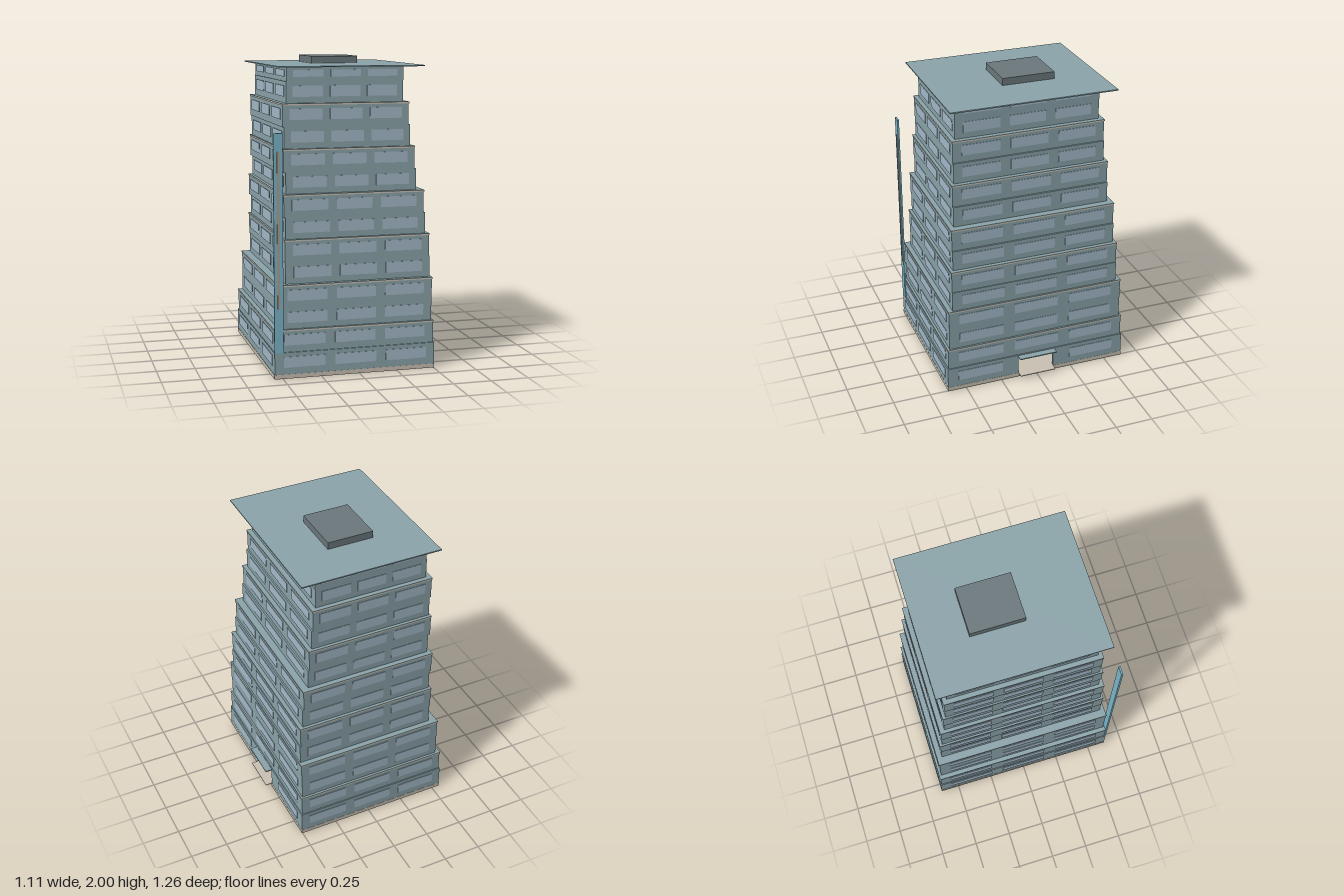
import * as THREE from 'three';

const mat = (name, color) => {
  const m = new THREE.MeshStandardMaterial({ color });
  m.name = name;
  return m;
};

export function createModel() {
  const wall = mat('wall blue grey', 0x8ba4aa);
  const glass = mat('window pale blue', 0xa4bac9);
  const stone = mat('beige stone', 0xc9c1b3);
  const plant = mat('roof unit grey', 0x6b787c);
  const blade = mat('sign blue', 0x7bb7cb);
  const strip = mat('sign strip tan', 0xae9f90);

  const model = new THREE.Group();
  model.name = 'building';

  // Box given by its limits on each axis
  const box = (parent, name, m, x0, x1, y0, y1, z0, z1) => {
    const mesh = new THREE.Mesh(new THREE.BoxGeometry(x1 - x0, y1 - y0, z1 - z0), m);
    mesh.position.set((x0 + x1) / 2, (y0 + y1) / 2, (z0 + z1) / 2);
    mesh.name = name;
    parent.add(mesh);
    return mesh;
  };

  // Footprint of each storey: x0, x1, z0, z1
  const storeys = [
    [-0.553, 0.504, -0.627, 0.625], [-0.547, 0.497, -0.62, 0.617],
    [-0.52, 0.488, -0.607, 0.604], [-0.52, 0.49, -0.607, 0.604],
    [-0.469, 0.483, -0.574, 0.575], [-0.473, 0.478, -0.574, 0.575],
    [-0.463, 0.454, -0.557, 0.558], [-0.474, 0.444, -0.557, 0.558],
    [-0.454, 0.4, -0.527, 0.529], [-0.468, 0.389, -0.527, 0.529],
    [-0.46, 0.363, -0.509, 0.511], [-0.468, 0.353, -0.509, 0.511],
    [-0.44, 0.323, -0.482, 0.485], [-0.436, 0.326, -0.482, 0.485],
  ];
  const base = 0.028, pitch = 0.1407, top = 1.945;
  const door = { z0: -0.122, z1: 0.128, y: 0.158 };

  // Ground slab
  box(model, 'baseSlab', stone, -0.555, 0.505, 0, base, -0.628, 0.626);

  storeys.forEach(([x0, x1, z0, z1], i) => {
    const floor = new THREE.Group();
    floor.name = `storey${i + 1}`;
    model.add(floor);
    const y0 = base + pitch * i;
    const y1 = Math.min(y0 + pitch, top);

    if (i === 0) {
      // Hollow ground floor with an open doorway on the left side
      const t = 0.02;
      box(floor, 'frontWall', wall, x0, x1, y0, y1, z1 - t, z1);
      box(floor, 'backWall', wall, x0, x1, y0, y1, z0, z0 + t);
      box(floor, 'rightWall', wall, x0, x0 + t, y0, y1, z0 + t, z1 - t);
      box(floor, 'doorWallFront', wall, x1 - t, x1, y0, y1, door.z1, z1 - t);
      box(floor, 'doorWallBack', wall, x1 - t, x1, y0, y1, z0 + t, door.z0);
      box(floor, 'doorLintel', wall, x1 - t, x1, door.y, y1, door.z0, door.z1);
    } else {
      box(floor, 'walls', wall, x0, x1, y0, y1, z0, z1);
    }

    // Three windows on every side, the middle one giving way to the door
    const h = (y1 - y0) * 0.49, yc = y0 + (y1 - y0) * 0.56;
    const cx = (x0 + x1) / 2, cz = (z0 + z1) / 2, w = x1 - x0, d = z1 - z0;
    const e = 0.003;
    for (const k of [-1, 0, 1]) {
      const wx = cx + k * w * 0.317, wz = cz + k * d * 0.317;
      const hw = w * 0.128, hd = d * 0.125;
      for (const z of [z0, z1])
        box(floor, 'window', glass, wx - hw, wx + hw, yc - h / 2, yc + h / 2, z - e, z + e);
      for (const x of [x0, x1]) {
        if (i === 0 && k === 0 && x === x1) continue;
        box(floor, 'window', glass, x - e, x + e, yc - h / 2, yc + h / 2, wz - hd, wz + hd);
      }
    }

    // Stone band and cap closing each pair of storeys
    if (i % 2 === 1 && i < 13) {
      const o = 0.003;
      box(floor, 'tierBand', stone, x0 - o, x1 + o, y1 - 0.006, y1 + 0.002, z0 - o, z1 + o);
      box(floor, 'tierCap', wall, x0 - o, x1 + o, y1 + 0.002, y1 + 0.005, z0 - o, z1 + o);
    }
  });

  // Entrance canopy and doorstep
  box(model, 'doorCanopy', wall, 0.48, 0.55, door.y, door.y + 0.007, -0.13, 0.133);
  box(model, 'doorStep', stone, 0.49, 0.55, base - 0.003, base + 0.002, door.z0, door.z1);

  // Overhanging roof slab and the unit on top
  box(model, 'roofSlab', wall, -0.497, 0.445, top, 1.953, -0.556, 0.55);
  box(model, 'roofUnit', plant, -0.18, 0.13, 1.953, 2, -0.254, 0.1);

  // Tall blade sign on the front right corner
  box(model, 'bladeSign', blade, -0.553, -0.495, 0.168, 1.55, 0.614, 0.626);
  box(model, 'bladeStrip', strip, -0.532, -0.516, 0.45, 1.435, 0.622, 0.63);

  return model;
}
